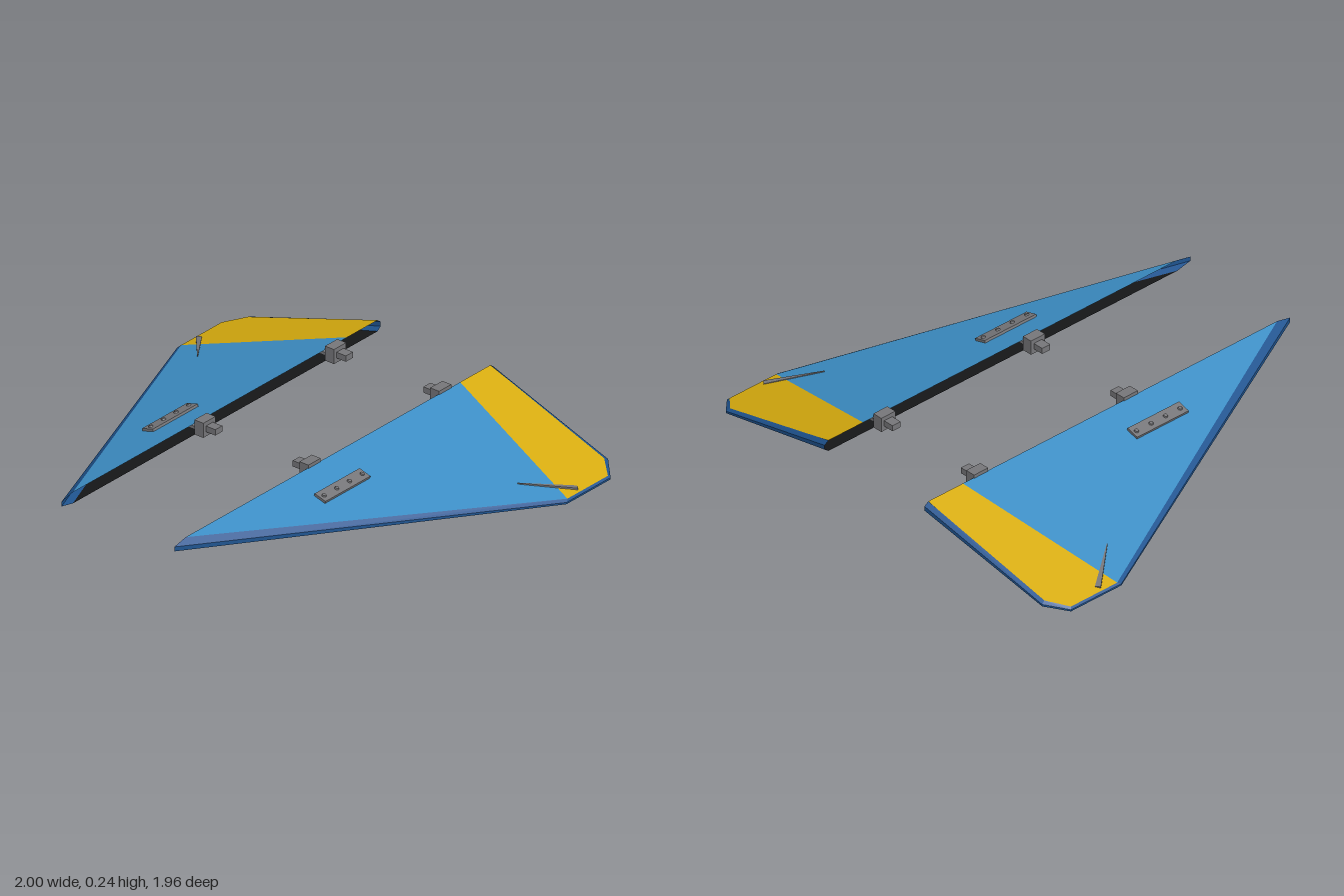
import * as THREE from 'three';

const material = (color) => new THREE.MeshStandardMaterial({ color, flatShading: true, side: THREE.DoubleSide });
const MAT = {
  blue: material(0x3d8fc6),
  yellow: material(0xd8ad0f),
  trim: material(0x1f5490),
  black: material(0x17181a),
  metal: material(0x77777a),
};

// Sloping upper and lower surfaces of the wing
const topY = (x) => 0.23 - 0.29 * (x - 0.29);
const bottomY = (x) => 0.18 - 0.247 * (x - 0.29);
const SLOPE = -Math.atan(0.29);

// Planform corners [x, z]: nose, tip front, tip rear, clipped corner, root rear
const OUTER = [[0.29, 0.975], [1, -0.58], [1, -0.85], [0.92, -0.93], [0.29, -0.98]];
const INNER = [[0.29, 0.905], [0.992, -0.595], [0.992, -0.843], [0.914, -0.913], [0.29, -0.96]];
const PAINT_SPLIT = [0.29, -0.775];

// Height at a fraction t from the lower to the upper surface
const ring = (points, t) =>
  points.map(([x, z]) => [x, bottomY(x) + t * (topY(x) - bottomY(x)), z]);

function polygons(list) {
  const pos = [];
  for (const p of list)
    for (let i = 1; i < p.length - 1; i++) pos.push(...p[0], ...p[i], ...p[i + 1]);
  const geo = new THREE.BufferGeometry();
  geo.setAttribute('position', new THREE.Float32BufferAttribute(pos, 3));
  return geo;
}

// Mirror in x, swapping two corners of each triangle to keep it facing outwards
function mirrored(geo) {
  const p = geo.attributes.position;
  const pos = [];
  for (let i = 0; i < p.count; i += 3)
    for (const k of [i, i + 2, i + 1]) pos.push(-p.getX(k), p.getY(k), p.getZ(k));
  const out = new THREE.BufferGeometry();
  out.setAttribute('position', new THREE.Float32BufferAttribute(pos, 3));
  return out;
}

function box(w, h, d, x, y, z, tilt = 0) {
  return new THREE.BoxGeometry(w, h, d).rotateZ(tilt).translate(x, y, z);
}

export function createModel() {
  const model = new THREE.Group();
  const left = new THREE.Group();
  const right = new THREE.Group();
  left.name = 'leftWing';
  right.name = 'rightWing';
  model.add(left, right);

  function addPair(name, source, mat) {
    const geo = source.index ? source.toNonIndexed() : source;
    for (const [group, g] of [[left, geo], [right, mirrored(geo)]]) {
      g.computeVertexNormals();
      const mesh = new THREE.Mesh(g, mat);
      mesh.name = name;
      group.add(mesh);
    }
  }

  // Upper skin, in two paint areas
  const top = ring(INNER, 1);
  const split = ring([PAINT_SPLIT], 1)[0];
  addPair('upperSkin', polygons([[top[0], top[1], split]]), MAT.blue);
  addPair('rearPanel', polygons([[split, top[1], top[2], top[3], top[4]]]), MAT.yellow);

  // Lower skin
  const bottom = ring(INNER, 0);
  addPair('lowerSkin', polygons([[...bottom].reverse()]), MAT.black);

  // Bevelled rim around three sides; the root stays open
  const rings = [bottom, ring(OUTER, 0.3), ring(OUTER, 0.7), top];
  const rim = [];
  for (let r = 0; r < 3; r++)
    for (let i = 0; i < 4; i++)
      rim.push([rings[r][i], rings[r][i + 1], rings[r + 1][i + 1], rings[r + 1][i]]);
  addPair('edgeTrim', polygons(rim), MAT.trim);

  // Root hinges
  for (const z of [0.12, -0.68]) {
    addPair('hingeBlock', box(0.046, 0.065, 0.075, 0.27, 0.212, z), MAT.metal);
    addPair('hingePin', box(0.05, 0.026, 0.043, 0.224, 0.213, z), MAT.metal);
    addPair('hingeTongue', box(0.05, 0.014, 0.05, 0.312, 0.2, z), MAT.metal);
  }

  // Mounting plate with four screws
  const px = 0.442;
  const py = topY(px);
  addPair('mountingPlate', box(0.058, 0.012, 0.275, px, py + 0.005, 0.128, SLOPE), MAT.metal);
  for (const z of [0.01, 0.088, 0.165, 0.243]) {
    const screw = new THREE.CylinderGeometry(0.008, 0.01, 0.006, 10)
      .rotateZ(SLOPE).translate(px + 0.004, py + 0.013, z);
    addPair('plateScrew', screw, MAT.metal);
  }

  // Tapered spike through the wing tip, wide at the outer end
  const spike = new THREE.CylinderGeometry(0.002, 0.017, 0.245, 4)
    .rotateY(Math.PI / 4)
    .rotateX(-Math.PI / 2)
    .scale(1, 1.25, 1);
  const from = new THREE.Vector3(0.972, 0.022, -0.68);
  const to = new THREE.Vector3(0.82, topY(0.82) + 0.003, -0.49);
  const aim = new THREE.Object3D();
  aim.position.copy(from).lerp(to, 0.5);
  aim.lookAt(from);
  aim.updateMatrix();
  addPair('tipSpike', spike.applyMatrix4(aim.matrix), MAT.metal);

  return model;
}
